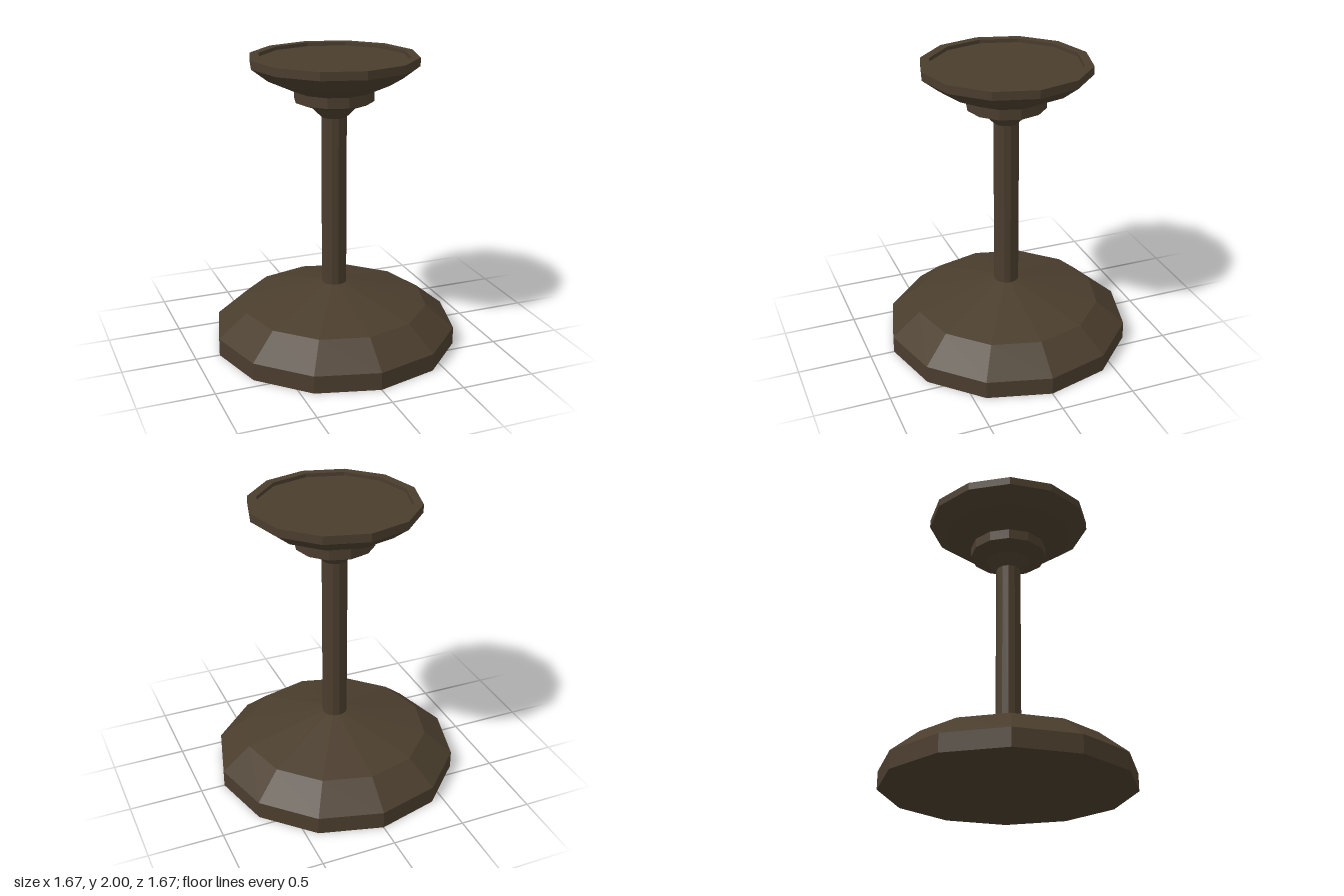
import * as THREE from 'three';

const SIDES = 12;

// Faceted solid of revolution from [radius, height] points, bottom to top
function turned(name, profile, material) {
  const points = profile.map(([r, y]) => new THREE.Vector2(r, y));
  const geometry = new THREE.LatheGeometry(points, SIDES).toNonIndexed();
  geometry.computeVertexNormals();
  const mesh = new THREE.Mesh(geometry, material);
  mesh.name = name;
  return mesh;
}

export function createModel() {
  const group = new THREE.Group();
  group.name = 'pedestalStand';
  const bronze = new THREE.MeshStandardMaterial({ color: 0x4a3d2d, flatShading: true });
  bronze.name = 'dark bronze';

  // Wide foot with a bevelled shoulder sloping up to the stem
  group.add(turned('base', [[0, 0], [0.835, 0], [0.835, 0.12], [0.64, 0.28], [0.085, 0.425]], bronze));

  // Slim stem
  group.add(turned('stem', [[0.085, 0.425], [0.085, 1.595]], bronze));

  // Flared collar under the dish
  group.add(turned('collar', [[0.085, 1.595], [0.155, 1.665], [0.265, 1.705], [0.265, 1.775]], bronze));

  // Dish with a raised rim and a shallow recessed top
  group.add(turned('dish', [
    [0.265, 1.775], [0.45, 1.86], [0.56, 1.945], [0.56, 2], [0.5, 2], [0.5, 1.975], [0, 1.975],
  ], bronze));

  return group;
}
